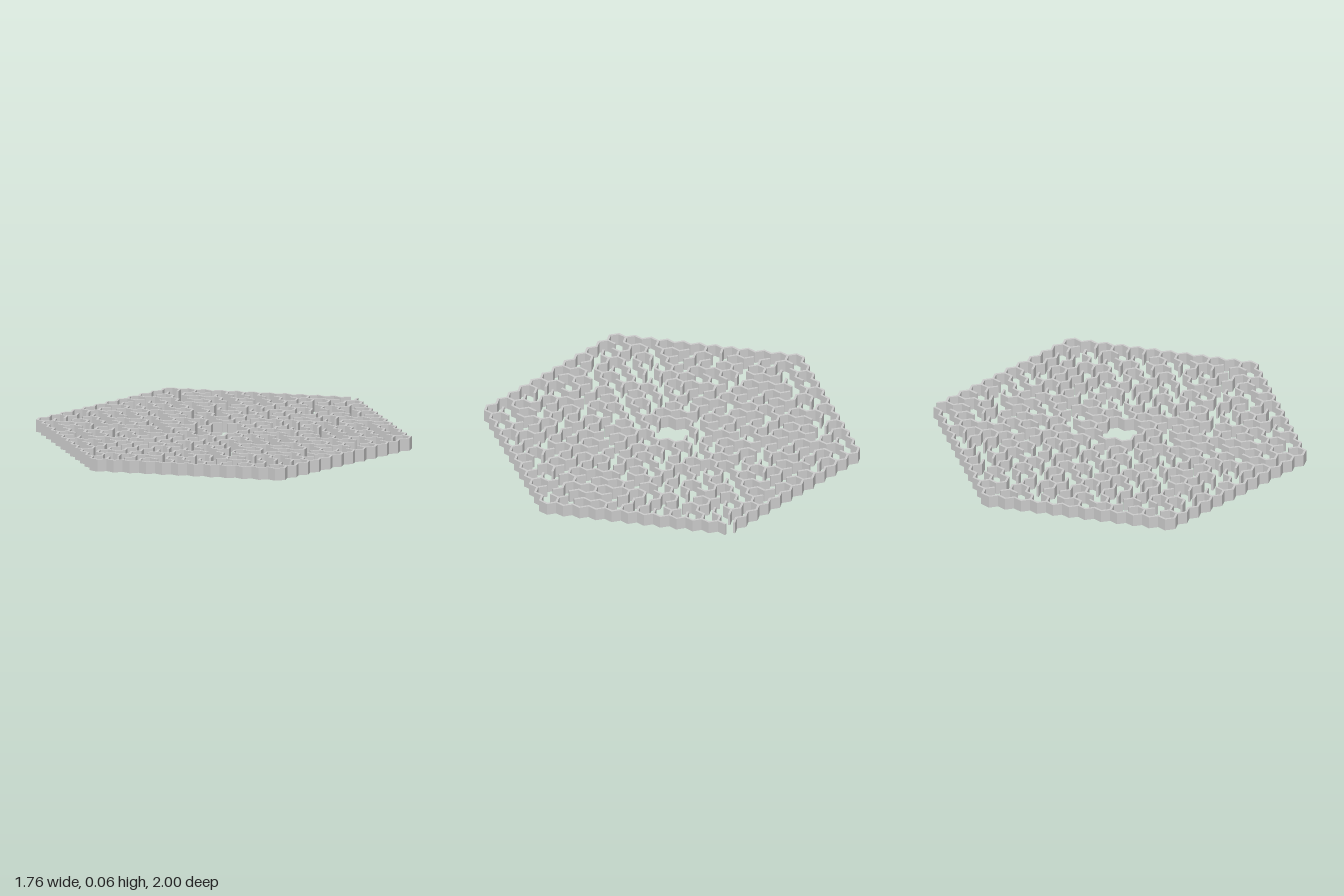
import * as THREE from 'three';
import { mergeGeometries } from 'three/addons/utils/BufferGeometryUtils.js';

const N = 11;                        // rings of hexagonal cells around the middle one
const T = 0.012, H = 0.065;          // wall thickness and height
const CELL = (2 - T) / (2 * N + 1);  // cell size across the flats
const SIDE = CELL / Math.sqrt(3);    // length of one wall
const DIRS = [[0, 1], [1, 0], [1, -1], [0, -1], [-1, 0], [-1, 1]];

// Zigzag walls along z: [column to their left, z start, z end]
const ZIGZAGS = [
  [-3, -0.88, -0.5], [-3, 0.4, 0.88], [0, 0.45, 0.85], [1, 0.0, 0.2],
  [2, 0.05, 0.3], [2, -0.25, -0.1], [2, -0.7, -0.5],
];

function seeded(seed) {
  return () => {
    seed = (Math.imul(seed, 1664525) + 1013904223) >>> 0;
    return seed / 4294967296;
  };
}

const centre = (q, r) => [1.5 * SIDE * q, CELL * (r + q / 2)];
const ring = (q, r) => Math.max(Math.abs(q), Math.abs(r), Math.abs(q + r));

// One wall on the border of a cell, across the direction to its neighbour
function wall(q, r, [dq, dr]) {
  const [x, z] = centre(q + dq / 2, r + dr / 2);
  const [dx, dz] = centre(dq, dr);
  return new THREE.BoxGeometry(T, H, SIDE + T / Math.sqrt(3))
    .rotateY(-Math.atan2(dz, dx))
    .translate(x, H / 2, z);
}

export function createModel() {
  const rand = seeded(20);
  const outer = [], inner = [], borders = [];
  const parent = new Map();
  const key = (q, r) => q + ',' + r;
  const find = (k) => {
    while (parent.get(k) !== k) k = parent.get(k);
    return k;
  };

  // Cells: the outline walls and the borders shared by two cells
  for (let q = -N; q <= N; q++) {
    for (let r = -N; r <= N; r++) {
      if (ring(q, r) > N) continue;
      parent.set(key(q, r), key(q, r));
      DIRS.forEach((d, i) => {
        const q2 = q + d[0], r2 = r + d[1];
        if (ring(q2, r2) > N) {
          const entrance = q === 0 && r === -N && i === 3;
          if (!entrance) outer.push(wall(q, r, d));
        } else if (i < 3) {
          // Passages run along z near the middle and across it to the sides
          const z = centre(q + d[0] / 2, r + d[1] / 2)[1];
          const a = Math.abs(q);
          let weight = rand();
          if (i === 0 && a >= 3 && a <= 9) weight += 0.25;
          if (i > 0 && a <= 2) weight += 0.2;
          if (i > 0 && ZIGZAGS.some(([c, z0, z1]) => c === q && z > z0 && z < z1)) weight += 1;
          if (ring(q, r) <= 1 && ring(q2, r2) <= 1) weight = -1; // open court
          borders.push({ q, r, d, weight, a: key(q, r), b: key(q2, r2) });
        }
      });
    }
  }

  // Maze: open a border wherever it joins two separate regions
  borders.sort((m, n) => m.weight - n.weight);
  for (const { q, r, d, weight, a, b } of borders) {
    const ra = find(a), rb = find(b);
    if (ra !== rb) parent.set(ra, rb);
    else if (weight >= 0) inner.push(wall(q, r, d));
  }

  const group = new THREE.Group();
  group.name = 'hexagonalMaze';
  const material = new THREE.MeshStandardMaterial({ color: 0xcccccc });
  for (const [name, parts] of [['outerWall', outer], ['innerWalls', inner]]) {
    const mesh = new THREE.Mesh(mergeGeometries(parts), material);
    mesh.name = name;
    group.add(mesh);
  }
  return group;
}
